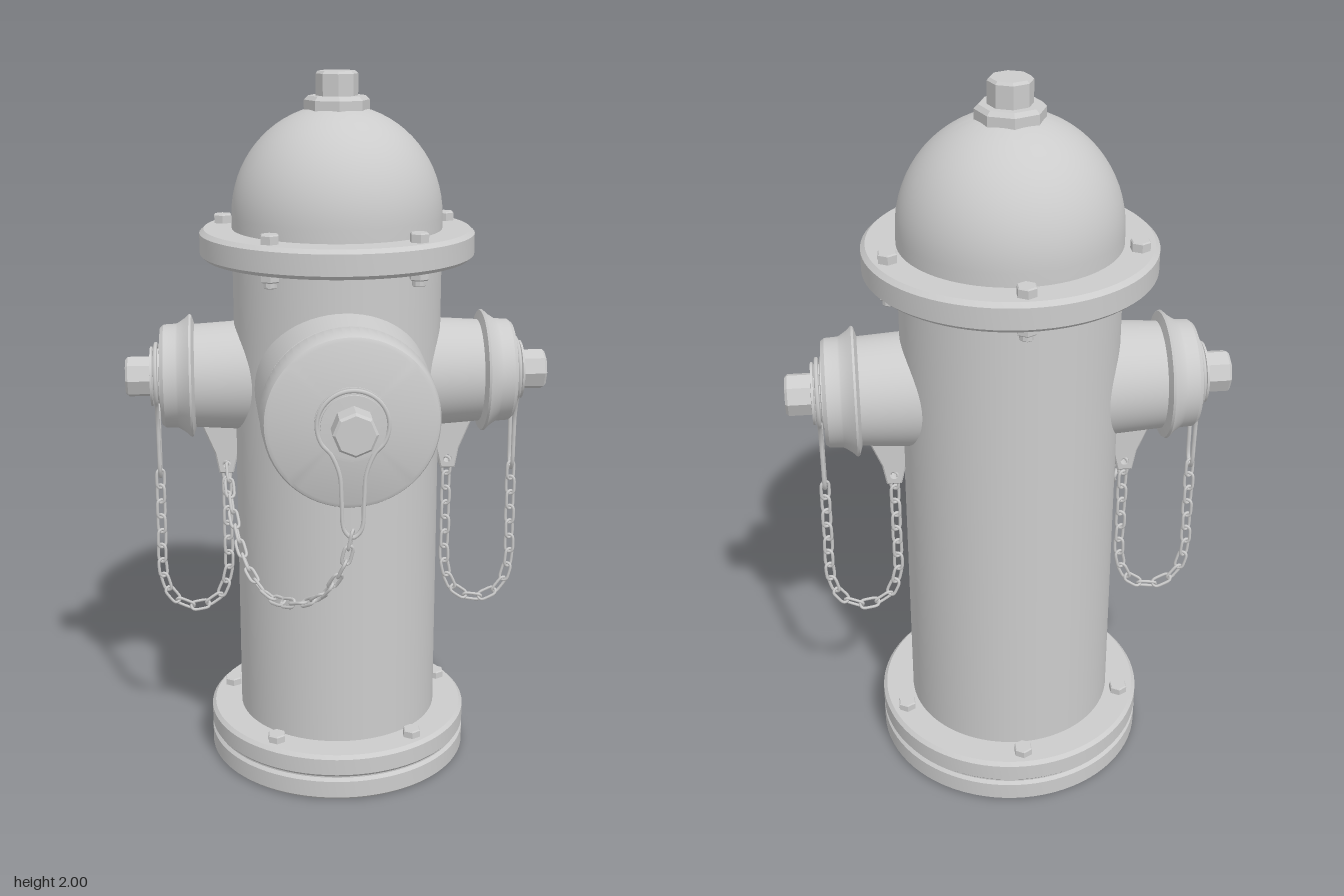
import * as THREE from 'three';
import { toCreasedNormals } from 'three/addons/utils/BufferGeometryUtils.js';

const AXIS_Z = -0.117; // barrel axis
const OUTLET_Y = 1.16;
const BODY_R = 0.292;

const smooth = new THREE.MeshStandardMaterial({ color: 0xcccccc, side: THREE.DoubleSide });
const faceted = new THREE.MeshStandardMaterial({ color: 0xcccccc, flatShading: true });

function add(parent, name, geometry, material = smooth) {
  const mesh = new THREE.Mesh(geometry, material);
  mesh.name = name;
  parent.add(mesh);
  return mesh;
}

// Turned part from [radius, height] pairs, with sharp edges kept
function turned(profile, segments = 64) {
  const pts = profile.map(([r, y]) => new THREE.Vector2(r, y));
  return toCreasedNormals(new THREE.LatheGeometry(pts, segments), 0.6);
}

// Chamfered many-sided nut standing on y = 0
function nut(parent, name, r, h, sides) {
  const c = r * 0.12;
  const pts = [[r, 0], [r, h - c], [r - c, h], [0, h]].map(([x, y]) => new THREE.Vector2(x, y));
  return add(parent, name, new THREE.LatheGeometry(pts, sides), faceted);
}

// Five bolts around a flange
function boltCircle(parent, name, y, dir) {
  for (let i = 0; i < 5; i++) {
    const a = (i / 5) * Math.PI * 2;
    const bolt = new THREE.Group();
    bolt.name = name;
    bolt.position.set(Math.sin(a) * 0.333, y, -Math.cos(a) * 0.333);
    if (dir < 0) {
      bolt.rotation.x = Math.PI;
      nut(bolt, 'nut', 0.027, 0.022, 6);
      nut(bolt, 'boltEnd', 0.018, 0.038, 10);
    } else {
      nut(bolt, 'boltHead', 0.027, 0.025, 6);
    }
    parent.add(bolt);
  }
}

// Outlet pointing along +z, its cap face at distance d from the barrel axis
function outlet(name, neck, cap, d) {
  const g = new THREE.Group();
  g.name = name;
  const turnedParts = new THREE.Group();
  turnedParts.rotation.x = Math.PI / 2;
  g.add(turnedParts);
  add(turnedParts, 'neck', turned(neck));
  add(turnedParts, 'cap', turned(cap));
  add(turnedParts, 'hub', turned([
    [0.098, d - 0.005], [0.098, d + 0.004], [0.078, d + 0.006], [0.078, d + 0.022],
    [0.084, d + 0.024], [0.084, d + 0.03], [0.05, d + 0.032],
  ], 40));
  nut(turnedParts, 'capNut', 0.058, 0.08, 8).position.y = d + 0.02;

  // Keyhole-shaped wire that hangs from the hub
  const pts = [];
  for (let i = 0; i <= 14; i++) {
    const a = THREE.MathUtils.degToRad(-52 + (284 * i) / 14);
    pts.push([Math.cos(a) * 0.092, Math.sin(a) * 0.092]);
  }
  pts.push([-0.034, -0.13], [-0.029, -0.2], [-0.022, -0.28], [0, -0.3],
    [0.022, -0.28], [0.029, -0.2], [0.034, -0.13]);
  const path = new THREE.CatmullRomCurve3(
    pts.map(([x, y]) => new THREE.Vector3(x, y, d + 0.014)), true, 'centripetal');
  add(g, 'wireLoop', new THREE.TubeGeometry(path, 110, 0.006, 6, true));
  g.position.set(0, OUTLET_Y, AXIS_Z);
  return g;
}

// Oval chain link, long side along y
function linkGeometry() {
  const pts = [];
  for (let i = 0; i < 12; i++) {
    const a = (i / 12) * Math.PI * 2;
    pts.push(new THREE.Vector3(
      Math.cos(a) * 0.0125, Math.sin(a) * 0.013 + Math.sign(Math.round(Math.sin(a) * 9)) * 0.015, 0));
  }
  return new THREE.TubeGeometry(new THREE.CatmullRomCurve3(pts, true), 24, 0.0045, 6, true);
}

// Links laid along a curve; sideways gives the direction each link faces
function chain(name, points, sideways) {
  const g = new THREE.Group();
  g.name = name;
  const curve = new THREE.CatmullRomCurve3(
    points.map((p) => new THREE.Vector3(...p)), false, 'centripetal');
  const count = Math.round(curve.getLength() / 0.046);
  const geo = linkGeometry();
  for (let i = 0; i < count; i++) {
    const u = (i + 0.5) / count;
    const y = curve.getTangentAt(u);
    const x = new THREE.Vector3().crossVectors(y, sideways).normalize();
    const z = new THREE.Vector3().crossVectors(x, y);
    const link = add(g, 'link', geo);
    link.quaternion.setFromRotationMatrix(new THREE.Matrix4().makeBasis(x, y, z));
    link.rotateY(i % 2 ? 0.5 : -0.5);
    link.position.copy(curve.getPointAt(u));
  }
  return g;
}

// Drilled lug under a side outlet
function lugGeometry() {
  const s = new THREE.Shape();
  s.moveTo(0.27, 1.06);
  s.lineTo(0.38, 1.06);
  s.lineTo(0.385, 1.015);
  s.lineTo(0.35, 0.93);
  s.lineTo(0.34, 0.875);
  s.lineTo(0.305, 0.875);
  s.lineTo(0.285, 0.96);
  s.closePath();
  const hole = new THREE.Path();
  hole.absarc(0.322, 0.9, 0.012, 0, Math.PI * 2, true);
  s.holes.push(hole);
  const geo = new THREE.ExtrudeGeometry(s, {
    depth: 0.036, bevelEnabled: true, bevelSize: 0.004, bevelThickness: 0.004, bevelSegments: 1,
  });
  return geo.translate(0, 0, -0.018);
}

export function createModel() {
  const model = new THREE.Group();
  model.name = 'fireHydrant';

  // Upright parts around the barrel axis
  const barrel = new THREE.Group();
  barrel.name = 'barrel';
  barrel.position.z = AXIS_Z;
  model.add(barrel);
  add(barrel, 'baseFlange', turned([
    [BODY_R, 0.125], [0.362, 0.125], [0.362, 0], [0.374, 0], [0.382, 0.008], [0.382, 0.058],
    [0.374, 0.067], [0.374, 0.071], [0.382, 0.08], [0.382, 0.128], [0.372, 0.138], [BODY_R, 0.138],
  ], 80));
  add(barrel, 'body', turned([[BODY_R, 0.125], [BODY_R, 1.52]], 80));
  add(barrel, 'topFlange', turned([
    [BODY_R, 1.5], [0.37, 1.5], [0.382, 1.511], [0.382, 1.568], [0.37, 1.579], [BODY_R, 1.579],
  ], 80));
  const dome = [[BODY_R, 1.57]];
  for (let i = 0; i <= 18; i++) {
    const a = (i / 18) * Math.PI / 2;
    dome.push([Math.cos(a) * BODY_R, 1.615 + Math.sin(a) * 0.297]);
  }
  add(barrel, 'dome', turned(dome, 80));
  nut(barrel, 'topCollar', 0.09, 0.065, 8).position.y = 1.87;
  nut(barrel, 'topNut', 0.058, 0.08, 8).position.y = 1.92;
  boltCircle(barrel, 'topBolt', 1.579, 1);
  boltCircle(barrel, 'topBoltNut', 1.5, -1);
  boltCircle(barrel, 'baseBolt', 0.135, 1);

  // Large front outlet
  model.add(outlet('frontOutlet',
    [[0.24, 0.15], [0.236, 0.3], [0.23, 0.412], [0.218, 0.418], [0.218, 0.43]],
    [[0.215, 0.425], [0.23, 0.427], [0.233, 0.432], [0.229, 0.5], [0.224, 0.512], [0.214, 0.517], [0, 0.517]],
    0.517));

  // Mirrored side outlets with lugs and chains
  for (const side of [1, -1]) {
    const label = side > 0 ? 'left' : 'right';
    const o = outlet(label + 'Outlet',
      [[0.158, 0.22], [0.153, 0.3], [0.146, 0.41]],
      [[0.14, 0.402], [0.172, 0.412], [0.175, 0.418], [0.162, 0.432], [0.15, 0.45], [0.148, 0.455],
        [0.146, 0.49], [0.138, 0.5], [0, 0.5]],
      0.5);
    o.rotation.y = side * Math.PI / 2;
    model.add(o);

    const lug = add(model, label + 'Lug', lugGeometry());
    lug.position.z = AXIS_Z;
    if (side < 0) lug.rotation.y = Math.PI;

    const path = [[0.514, 0.875], [0.516, 0.7], [0.514, 0.55], [0.485, 0.48], [0.42, 0.45],
      [0.355, 0.48], [0.326, 0.55], [0.322, 0.7], [0.322, 0.895]];
    model.add(chain(label + 'Chain', path.map(([x, y]) => [side * x, y, AXIS_Z]),
      new THREE.Vector3(0, 0, 1)));
  }

  // Front chain swings round the barrel to the right lug
  model.add(chain('frontChain', [
    [0, 0.875, 0.414], [-0.025, 0.77, 0.4], [-0.09, 0.655, 0.33], [-0.2, 0.597, 0.19],
    [-0.265, 0.64, 0.08], [-0.305, 0.76, -0.03], [-0.32, 0.895, -0.1],
  ], new THREE.Vector3(0.7, 0, 0.7)));

  return model;
}
